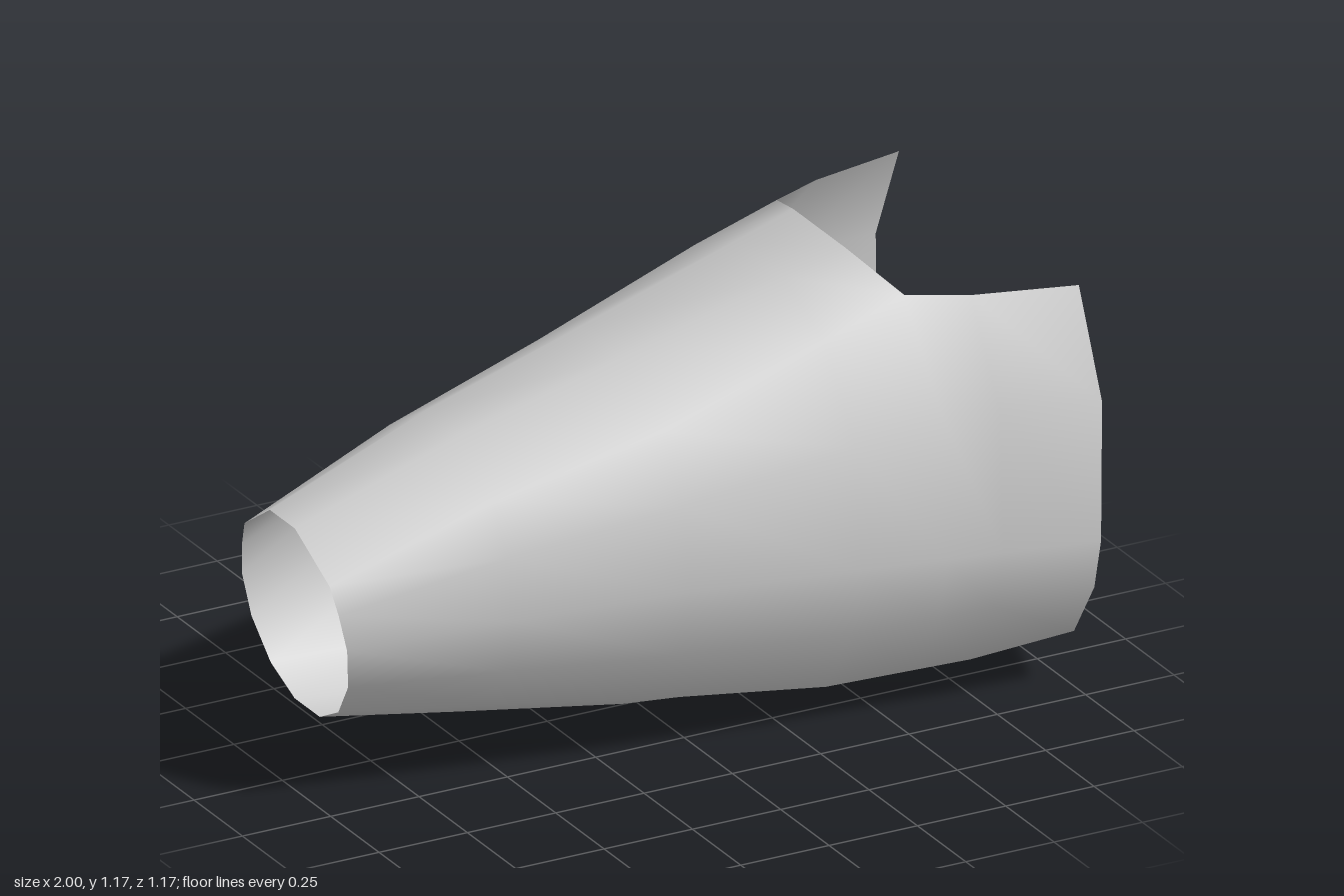
import * as THREE from 'three';

// Half cross-sections [z, y] from the crown down to the keel, by position along x
const sections = [
  { x: -1, slant: 0.133, half: [[0.065, 0.71], [0.22, 0.61], [0.25, 0.54], [0.272, 0.45], [0.25, 0.34], [0.175, 0.24], [0.065, 0.183]] },
  { x: -0.55, half: [[0.085, 0.875], [0.268, 0.765], [0.34, 0.64], [0.368, 0.48], [0.335, 0.33], [0.235, 0.2], [0.088, 0.125]] },
  { x: -0.1, half: [[0.105, 1.0], [0.32, 0.88], [0.43, 0.72], [0.463, 0.5], [0.415, 0.31], [0.295, 0.145], [0.115, 0.06]] },
  { x: 0.35, half: [[0.125, 1.128], [0.335, 1.035], [0.5, 0.81], [0.53, 0.49], [0.48, 0.3], [0.345, 0.1], [0.135, 0.025]] },
  { x: 0.58, crownX: 0.52, half: [[0.135, 1.175], [0.33, 1.11], [0.525, 0.86], [0.556, 0.48], [0.505, 0.3], [0.38, 0.11], [0.14, 0.018]] },
  // The crown is cut away from here on
  { x: 0.73, half: [[0.40, 1.105], [0.40, 1.105], [0.55, 0.85], [0.567, 0.47], [0.52, 0.305], [0.4, 0.115], [0.145, 0.012]] },
  { x: 1, half: [[0.465, 1.10], [0.465, 1.10], [0.585, 0.83], [0.58, 0.45], [0.545, 0.31], [0.44, 0.15], [0.145, 0]] },
];
const NOTCH_ROW = 4;

function makeShell() {
  const positions = [], index = [];
  const columns = sections[0].half.length * 2;

  // Mirror each half section into a full ring
  for (const { x, slant = 0, crownX = x, half } of sections) {
    const ring = [...half, ...half.map(([z, y]) => [-z, y]).reverse()];
    ring.forEach(([z, y], k) => {
      const isCrown = k === 0 || k === columns - 1;
      positions.push((isCrown ? crownX : x) + slant * (half[0][1] - y), y, z);
    });
  }

  // Skin between rings, leaving the notch open at the crown
  for (let i = 0; i < sections.length - 1; i++) {
    const open = i >= NOTCH_ROW;
    for (let k = open ? 1 : 0; k < (open ? columns - 2 : columns); k++) {
      const next = (k + 1) % columns;
      const a = i * columns + k, b = i * columns + next;
      index.push(a, b, b + columns, a, b + columns, a + columns);
    }
  }

  const geometry = new THREE.BufferGeometry();
  geometry.setAttribute('position', new THREE.Float32BufferAttribute(positions, 3));
  geometry.setIndex(index);
  geometry.computeVertexNormals();
  return geometry;
}

export function createModel() {
  const group = new THREE.Group();
  group.name = 'taperedSleeve';
  const grey = new THREE.MeshStandardMaterial({ color: 0xcccccc, side: THREE.DoubleSide });
  grey.name = 'light grey';
  const shell = new THREE.Mesh(makeShell(), grey);
  shell.name = 'notchedShell';
  group.add(shell);
  return group;
}
